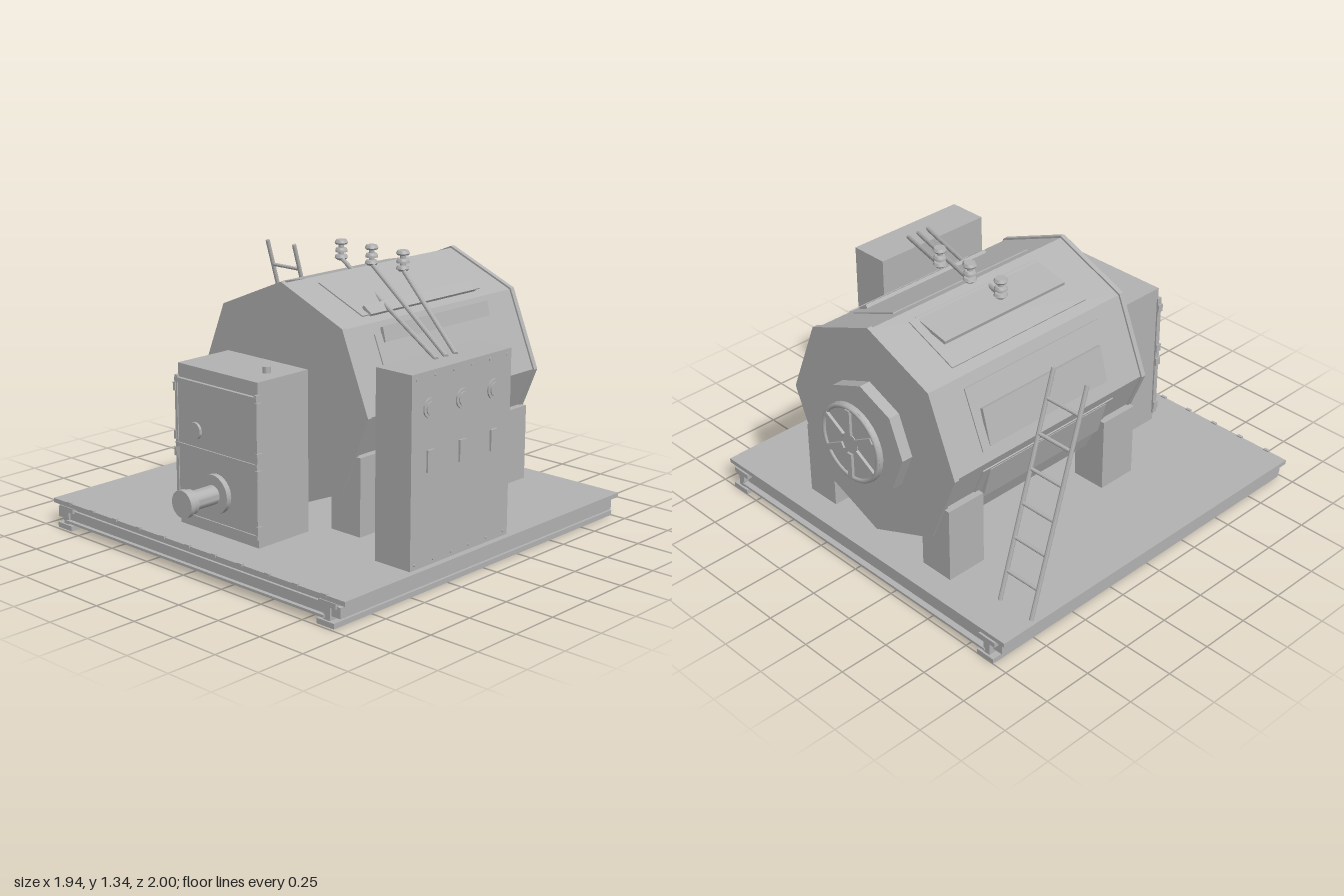
import * as THREE from 'three';
import { toCreasedNormals } from 'three/addons/utils/BufferGeometryUtils.js';

export function createModel() {
  const model = new THREE.Group();
  const grey = new THREE.MeshStandardMaterial({ color: 0xb2b2b2 });
  grey.name = 'machine grey';

  const add = (name, geo, parent = model) => {
    const mesh = new THREE.Mesh(geo, grey);
    mesh.name = name;
    parent.add(mesh);
    return mesh;
  };
  // Box given by its limits on each axis
  const block = (name, x0, x1, y0, y1, z0, z1, parent) => {
    const mesh = add(name, new THREE.BoxGeometry(x1 - x0, y1 - y0, z1 - z0), parent);
    mesh.position.set((x0 + x1) / 2, (y0 + y1) / 2, (z0 + z1) / 2);
    return mesh;
  };
  // Cylinder between two points
  const rod = (name, a, b, r, sides = 24, parent) => {
    const p = new THREE.Vector3(...a), q = new THREE.Vector3(...b);
    const geo = toCreasedNormals(new THREE.CylinderGeometry(r, r, p.distanceTo(q), sides), 0.6);
    const mesh = add(name, geo, parent);
    mesh.position.copy(p).add(q).multiplyScalar(0.5);
    mesh.quaternion.setFromUnitVectors(new THREE.Vector3(0, 1, 0), q.sub(p).normalize());
    return mesh;
  };
  // Cylinder along z; eight sides put a corner at the top
  const drum = (name, r, x, y, z0, z1, sides = 32) => {
    const geo = toCreasedNormals(new THREE.CylinderGeometry(r, r, z1 - z0, sides).rotateX(Math.PI / 2), 0.6);
    add(name, geo).position.set(x, y, (z0 + z1) / 2);
  };

  // Base: deck, cross beams and skid beams
  block('deck', -0.97, 0.97, 0.11, 0.132, -0.98, 0.97);
  for (const z of [-0.95, -0.32, 0.32, 0.94]) {
    block('crossBeamWeb', -0.86, 0.86, 0.05, 0.11, z - 0.012, z + 0.012);
    block('crossBeamFlange', -0.86, 0.86, 0.035, 0.047, z - 0.045, z + 0.045);
  }
  for (const s of [-1, 1]) {
    block('endChannel', -0.94, 0.94, 0.045, 0.095, s * 0.955 - 0.01, s * 0.955 + 0.01);
    block('sideChannel', s * 0.925 - 0.015, s * 0.925 + 0.015, 0.045, 0.095, -0.96, 0.96);
    block('skidFoot', s * 0.87 - 0.05, s * 0.87 + 0.05, 0, 0.025, -1, 0.985);
    block('skidWeb', s * 0.87 - 0.018, s * 0.87 + 0.018, 0.025, 0.085, -0.99, 0.975);
    block('skidTop', s * 0.87 - 0.05, s * 0.87 + 0.05, 0.085, 0.11, -0.99, 0.975);
  }
  for (let i = 0; i < 11; i++) {
    const x = -0.85 + i * 0.17;
    block('deckBolt', x - 0.015, x + 0.015, 0.125, 0.138, 0.96, 0.975);
  }

  // Eight-sided drum with end plates
  const cy = 0.705;
  drum('drumBody', 0.535, 0, cy, -0.84, 0.35, 8);
  drum('drumFrontPlate', 0.545, 0, cy, 0.345, 0.37, 8);
  drum('drumBackPlate', 0.545, 0, cy, -0.86, -0.835, 8);

  // Face panels: angle of face, then offset, width and tilt of the cover plate
  const covers = [
    [112.5, 0.06, 0.2, -10], [157.5, -0.05, 0.18, 7], [67.5, 0.13, 0.06, -12], [22.5, -0.14, 0.07, -8],
    [-22.5, -0.05, 0.18, 7], [202.5, 0.05, 0.18, -7], [-67.5, 0, 0.18, 6], [247.5, 0, 0.18, -6],
  ];
  for (const [angle, offset, width, tilt] of covers) {
    const face = new THREE.Group();
    face.name = 'drumFacePanel';
    face.position.set(0, cy, -0.245);
    face.rotation.z = THREE.MathUtils.degToRad(angle - 90);
    model.add(face);
    const apothem = 0.535 * Math.cos(Math.PI / 8);
    block('panelFrame', -0.15, 0.15, apothem - 0.01, apothem + 0.006, -0.42, 0.42, face);
    const cover = block('coverPlate', offset - width / 2, offset + width / 2,
      apothem + 0.003, apothem + 0.02, -0.375, 0.375, face);
    cover.rotation.z = THREE.MathUtils.degToRad(tilt);
  }

  // Legs under the drum
  for (const s of [-1, 1]) {
    for (const z of [-0.745, 0.255]) {
      block('leg', s * 0.4 - 0.09, s * 0.4 + 0.09, 0.13, 0.51, z - 0.105, z + 0.105);
    }
  }

  // Bearing housing and spoked wheel at the back
  drum('bearingHousing', 0.27, 0, cy, -0.917, -0.855, 8);
  drum('wheelHub', 0.08, 0, cy, -0.97, -0.91);
  drum('wheelDisc', 0.197, 0, cy, -0.985, -0.965);
  add('wheelRim', new THREE.TorusGeometry(0.185, 0.012, 8, 40)).position.set(0, cy, -0.983);
  drum('wheelCap', 0.05, 0, cy, -0.99, -0.98);
  for (let i = 0; i < 6; i++) {
    const a = (i * Math.PI) / 3 + Math.PI / 6;
    const spoke = add('wheelSpoke', new THREE.BoxGeometry(0.13, 0.03, 0.025));
    spoke.position.set(Math.cos(a) * 0.115, cy + Math.sin(a) * 0.115, -0.987);
    spoke.rotation.z = a;
  }

  // Front cabinet with two doors, nozzle and knobs
  block('frontCabinet', -0.26, 0.26, 0.13, 0.9, 0.46, 0.775);
  block('lowerDoor', -0.255, 0.255, 0.19, 0.51, 0.77, 0.785);
  block('upperDoor', -0.255, 0.255, 0.525, 0.815, 0.77, 0.785);
  for (const y of [0.185, 0.517, 0.825]) block('doorBand', -0.268, 0.268, y - 0.01, y + 0.01, 0.765, 0.792);
  for (const s of [-1, 1]) {
    block('doorEdge', s * 0.26 - 0.008, s * 0.26 + 0.008, 0.175, 0.845, 0.765, 0.79);
    for (const y of [0.22, 0.48, 0.56, 0.79]) {
      block('hinge', s * 0.267 - 0.008, s * 0.267 + 0.008, y - 0.02, y + 0.02, 0.765, 0.795);
    }
  }
  drum('doorKnob', 0.04, -0.135, 0.605, 0.78, 0.798);
  drum('nozzlePlate', 0.093, 0, 0.335, 0.78, 0.812);
  drum('nozzlePipe', 0.045, 0, 0.335, 0.8, 0.96);
  drum('nozzleFlange', 0.065, 0, 0.335, 0.975, 1);
  drum('nozzleCollar', 0.058, 0, 0.335, 0.945, 0.98);
  rod('topKnob', [0.165, 0.89, 0.625], [0.165, 0.93, 0.625], 0.019);

  // Control cabinet with dials and switches
  block('controlCabinet', 0.735, 0.94, 0.13, 1.01, -0.14, 0.53);
  for (const z of [0.41, 0.195, -0.02]) {
    rod('dial', [0.935, 0.845, z], [0.947, 0.845, z], 0.046, 32);
    rod('dialGlass', [0.945, 0.845, z], [0.952, 0.845, z], 0.032, 32);
    block('switchPlate', 0.935, 0.95, 0.56, 0.66, z - 0.021, z + 0.021);
  }
  for (let i = 0; i < 6; i++) {
    for (const y of [0.155, 0.985]) {
      const z = -0.11 + i * 0.122;
      rod('cabinetBolt', [0.935, y, z], [0.945, y, z], 0.007, 8);
    }
  }

  // Insulators and cables to the control cabinet
  const profile = [[0, 0], [0.02, 0], [0.033, 0.012], [0.027, 0.026], [0.014, 0.028], [0.014, 0.038],
    [0.03, 0.04], [0.03, 0.05], [0.024, 0.06], [0.014, 0.061], [0.014, 0.076], [0.028, 0.078],
    [0.033, 0.086], [0.026, 0.1], [0, 0.1]].map(([r, y]) => new THREE.Vector2(r, y));
  [-0.2, 0, 0.2].forEach((x, i) => {
    const insulator = add('insulator', toCreasedNormals(new THREE.LatheGeometry(profile, 20), 0.6));
    insulator.position.set(x, 1.237, -0.245);
    rod('cable', [x, 1.245, -0.245], [0.835, 1.01, 0.25 - i * 0.065], 0.011, 10);
  });

  // Leaning ladder
  const foot = [0.132, -0.785], top = [1.21, -0.465];
  for (const x of [-0.94, -0.745]) rod('ladderRail', [x, ...foot], [x, ...top], 0.011, 10);
  for (let i = 0; i < 6; i++) {
    const y = 0.275 + i * 0.16;
    const z = foot[1] + ((y - foot[0]) / (top[0] - foot[0])) * (top[1] - foot[1]);
    rod('ladderRung', [-0.94, y, z], [-0.745, y, z], 0.009, 10);
  }
  return model;
}
